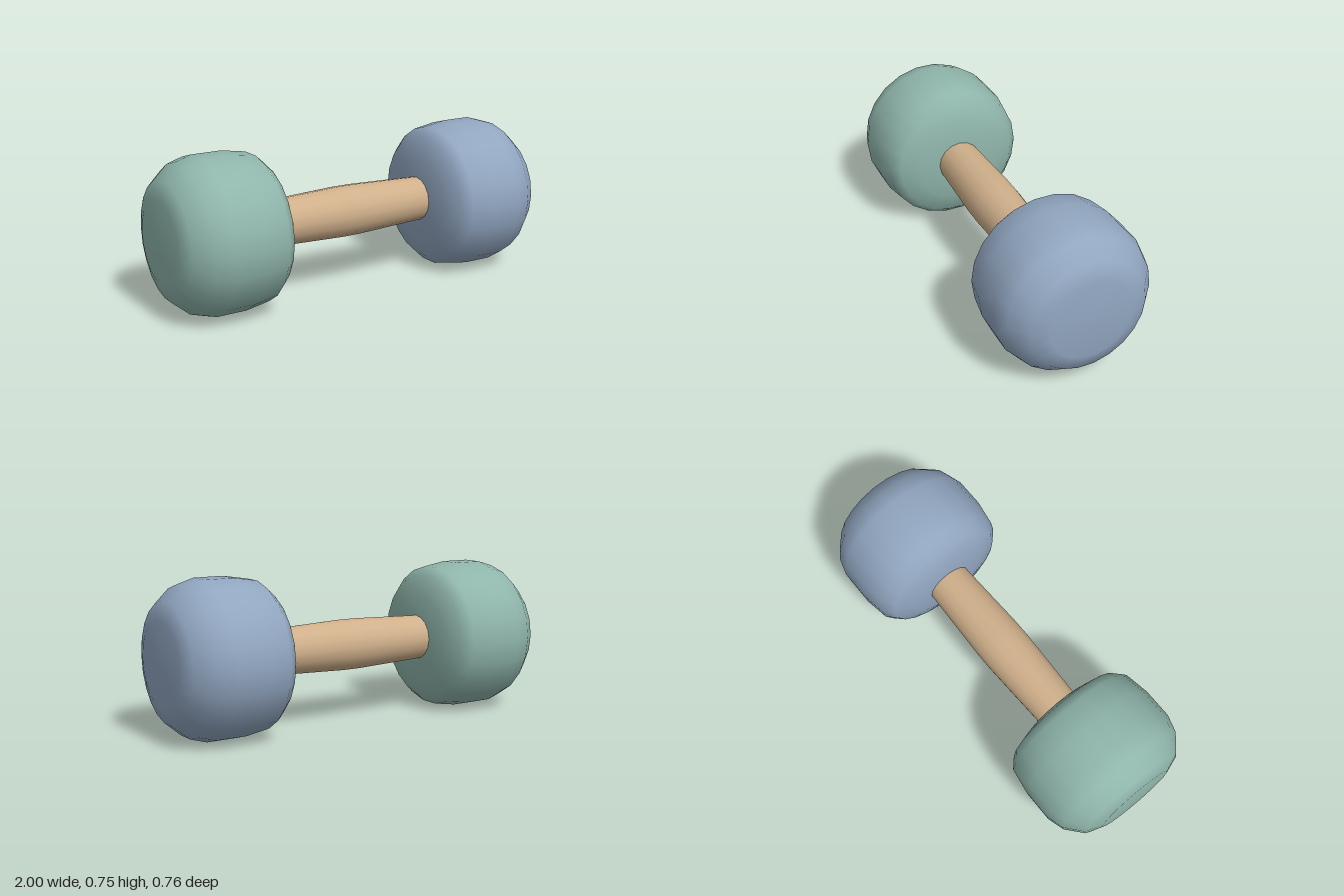
import * as THREE from 'three';

const CENTRE_Y = 0.383;

// Smooth turned solid lying along x; side +1 grows toward +x, -1 toward -x
function turned(name, profile, sides, material, side) {
  const points = profile.map(([r, d]) => new THREE.Vector2(r, d));
  const geometry = new THREE.LatheGeometry(points, sides);
  geometry.rotateZ(-side * Math.PI / 2);
  const mesh = new THREE.Mesh(geometry, material);
  mesh.name = name;
  mesh.position.y = CENTRE_Y;
  return mesh;
}

export function createModel() {
  const blue = new THREE.MeshStandardMaterial({ color: 0x91a6c0 });
  blue.name = 'dusty blue';
  const green = new THREE.MeshStandardMaterial({ color: 0x8fb5ab });
  green.name = 'sage green';
  const tan = new THREE.MeshStandardMaterial({ color: 0xd0b08b });
  tan.name = 'light wood';

  const group = new THREE.Group();
  group.name = 'dumbbell';

  // Rounded weights: [radius, distance from the middle]
  const weight = [
    [0, 0.43], [0.11, 0.432], [0.22, 0.446], [0.315, 0.475], [0.36, 0.525],
    [0.38, 0.65], [0.38, 0.8], [0.355, 0.885], [0.285, 0.968], [0.2, 0.998], [0, 1],
  ];
  group.add(turned('leftWeight', weight, 22, blue, 1));
  group.add(turned('rightWeight', weight, 22, green, -1));

  // Grip, slightly swollen in the middle
  const grip = [[0.112, -0.45], [0.113, -0.42], [0.127, -0.05], [0.127, 0.05], [0.113, 0.42], [0.112, 0.45]];
  group.add(turned('grip', grip, 16, tan, 1));

  return group;
}
